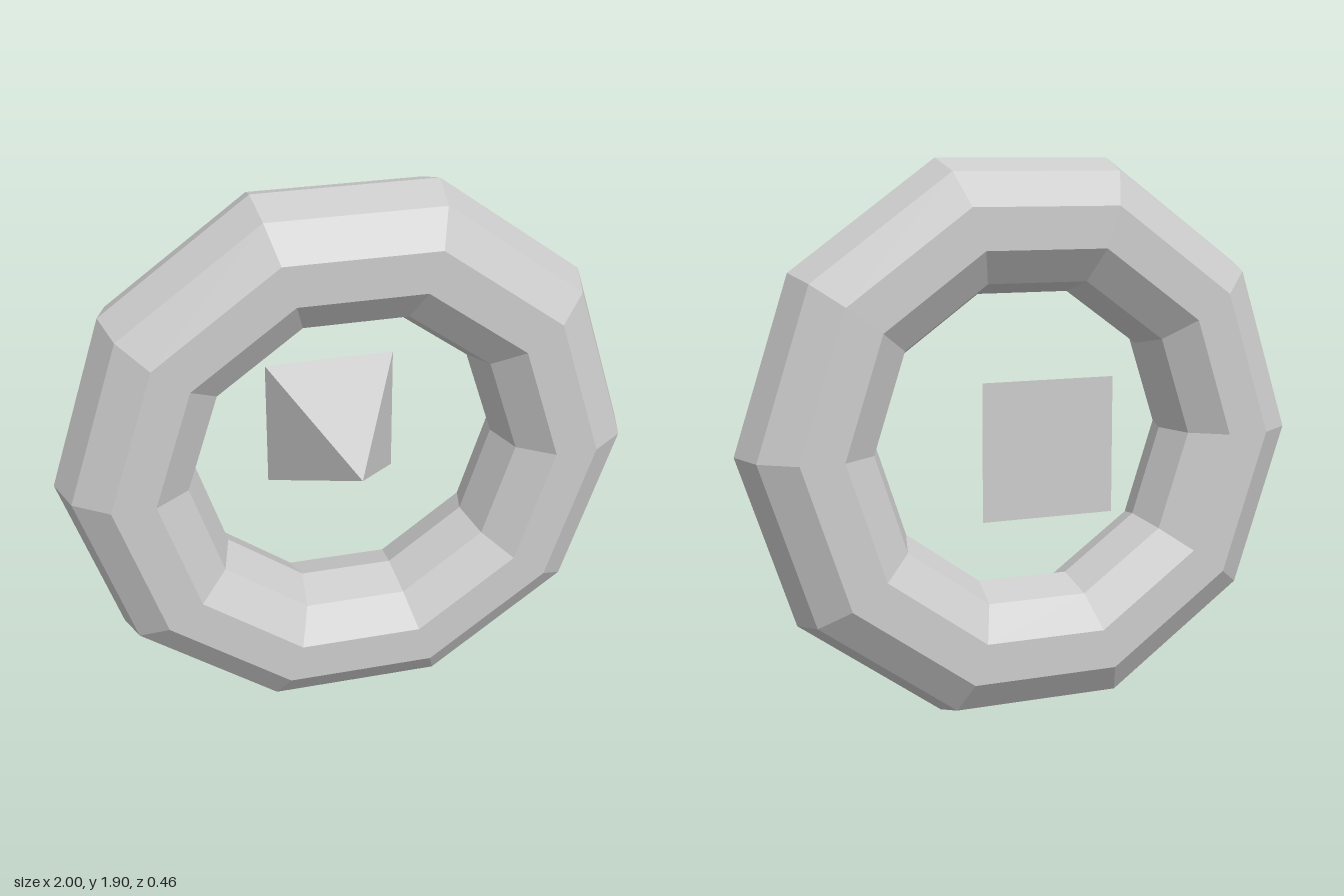
import * as THREE from 'three';

export function createModel() {
  const group = new THREE.Group();
  const material = new THREE.MeshStandardMaterial({ color: 0xcccccc, flatShading: true });
  const R = 0.763, r = 0.237, sides = 10;
  const centreY = Math.cos(Math.PI / sides); // ring rests on a flat side

  // Ten-sided ring with a ten-sided section
  const ring = new THREE.Mesh(new THREE.TorusGeometry(R, r, sides, sides), material);
  ring.name = 'ring';
  ring.position.y = centreY;

  // Square pyramid floating in the hole, apex to the front
  const half = 0.232, depth = 0.46;
  const pyramidGeometry = new THREE.ConeGeometry(half * Math.SQRT2, depth, 4)
    .rotateY(Math.PI / 4)
    .rotateX(Math.PI / 2);
  const pyramid = new THREE.Mesh(pyramidGeometry, material);
  pyramid.name = 'pyramid';
  pyramid.position.set(0, centreY, -0.003);

  group.add(ring, pyramid);
  return group;
}
